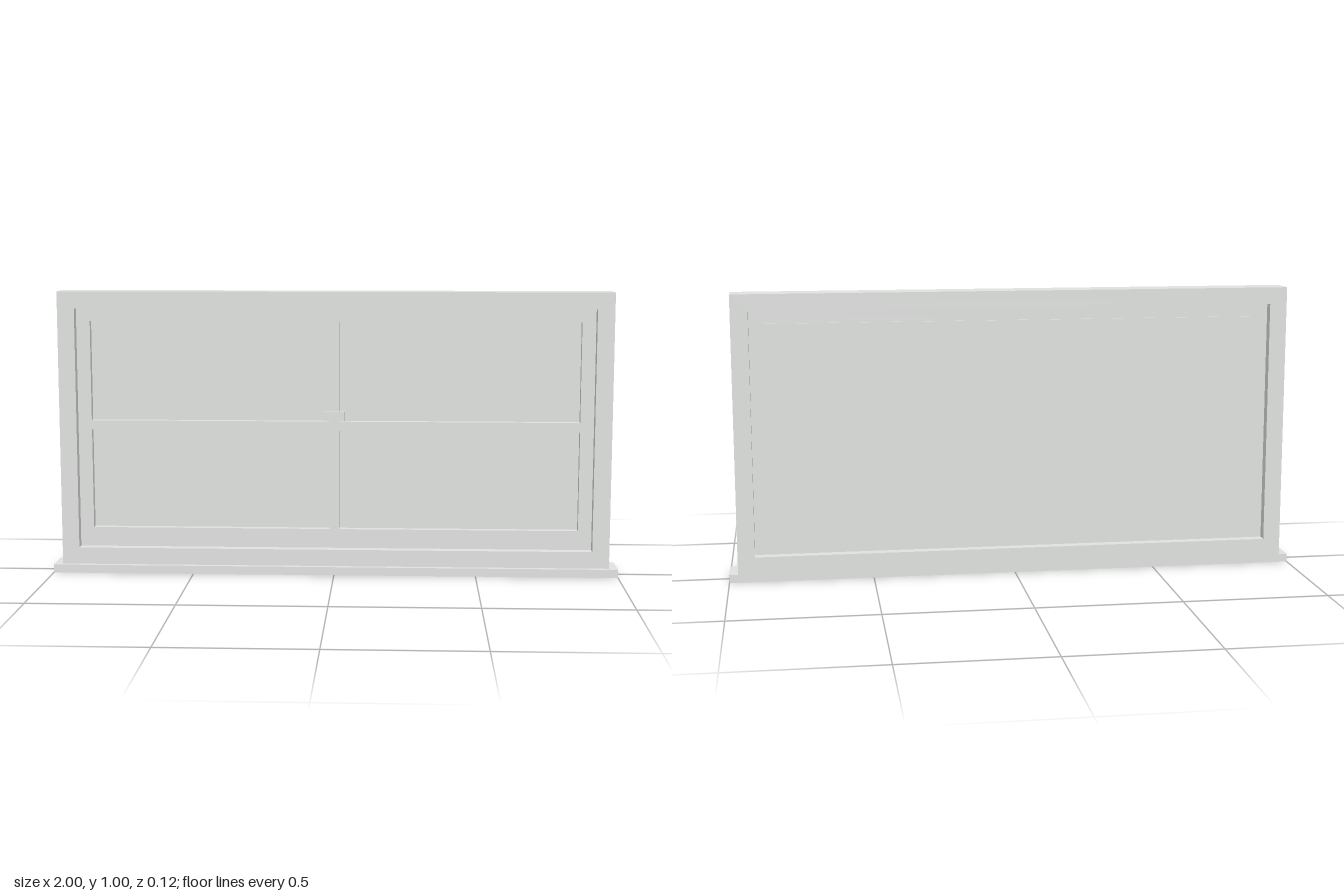
import * as THREE from 'three';

const grey = new THREE.MeshStandardMaterial({ color: 0xe0e2e0 });
grey.name = 'pale grey';

// Counter-clockwise rectangle between two corners
function rect(target, x0, y0, x1, y1) {
  target.moveTo(x0, y0);
  target.lineTo(x1, y0);
  target.lineTo(x1, y1);
  target.lineTo(x0, y1);
  target.closePath();
  return target;
}

// Rectangular slab with rectangular openings, spanning z0..z1
function panel(name, outer, openings, z0, z1) {
  const shape = rect(new THREE.Shape(), ...outer);
  for (const o of openings) shape.holes.push(rect(new THREE.Path(), ...o));
  const geo = new THREE.ExtrudeGeometry(shape, { depth: z1 - z0, bevelEnabled: false });
  geo.translate(0, 0, z0);
  const mesh = new THREE.Mesh(geo, grey);
  mesh.name = name;
  return mesh;
}

// Solid box given by its extents
function block(name, x0, y0, z0, x1, y1, z1) {
  const mesh = new THREE.Mesh(new THREE.BoxGeometry(x1 - x0, y1 - y0, z1 - z0), grey);
  mesh.position.set((x0 + x1) / 2, (y0 + y1) / 2, (z0 + z1) / 2);
  mesh.name = name;
  return mesh;
}

export function createModel() {
  const group = new THREE.Group();
  group.name = 'window';
  const back = -0.057;

  // Projecting sill under the whole window
  group.add(block('sill', -1, 0, back, 1, 0.029, 0.058));

  // Outer frame
  const opening = [-0.91, 0.088, 0.91, 0.941];
  group.add(panel('outerFrame', [-0.97, 0.029, 0.97, 1], [opening], back, 0.04));

  // Sash with glazing bars, leaving two by two panes
  const panes = [];
  for (const [x0, x1] of [[-0.862, -0.018], [0.018, 0.862]]) {
    for (const [y0, y1] of [[0.156, 0.508], [0.542, 0.894]]) panes.push([x0, y0, x1, y1]);
  }
  group.add(panel('sash', opening, panes, -0.023, 0.006));

  // Single sheet of glass, slightly proud of the sash at the back
  group.add(block('glass', -0.864, 0.154, -0.028, 0.864, 0.896, -0.019));

  // Latch where the bars meet
  group.add(block('latch', -0.035, 0.546, 0, 0.035, 0.578, 0.021));

  return group;
}
